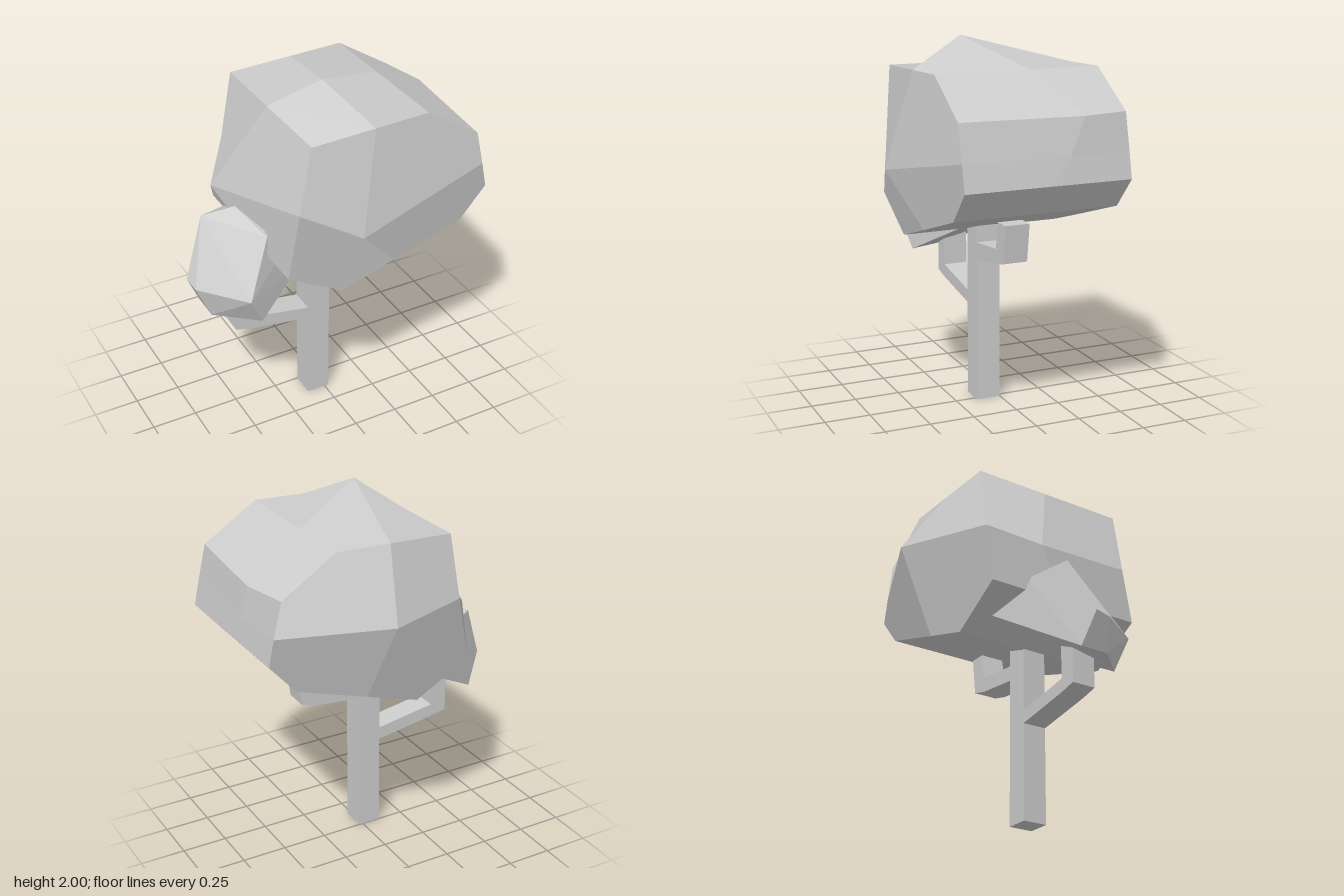
import * as THREE from 'three';
import { ConvexGeometry } from 'three/addons/geometries/ConvexGeometry.js';

const material = new THREE.MeshStandardMaterial({ color: 0xcccccc });
const flat = new THREE.MeshStandardMaterial({ color: 0xcccccc, flatShading: true });
const V = (p) => new THREE.Vector3(...p);

// Polygons facing away from a centre, each with one normal, fanned from its first corner
function facetedGeometry(faces, centre) {
  const positions = [], normals = [];
  for (const face of faces) {
    let pts = face.map(V);
    const normal = new THREE.Vector3();
    for (let i = 1; i < pts.length - 1; i++) {
      const a = pts[i].clone().sub(pts[0]);
      normal.add(a.cross(pts[i + 1].clone().sub(pts[0])));
    }
    normal.normalize();
    if (normal.dot(pts[0].clone().sub(centre)) < 0) {
      normal.negate();
      pts = [pts[0], ...pts.slice(1).reverse()];
    }
    for (let i = 1; i < pts.length - 1; i++) {
      for (const p of [pts[0], pts[i], pts[i + 1]]) {
        positions.push(p.x, p.y, p.z);
        normals.push(normal.x, normal.y, normal.z);
      }
    }
  }
  const geometry = new THREE.BufferGeometry();
  geometry.setAttribute('position', new THREE.Float32BufferAttribute(positions, 3));
  geometry.setAttribute('normal', new THREE.Float32BufferAttribute(normals, 3));
  return geometry;
}

// Main foliage: front, middle and back rings closed by a pulled-out centre point at each end
function crownGeometry() {
  const profile = [
    [-0.28, 1.835], [0.07, 1.847], [0.37, 1.857], [0.67, 1.665], [0.715, 1.475], [0.745, 1.335],
    [0.6, 1.17], [0.2, 1.042], [-0.1, 0.948], [-0.41, 1.12], [-0.346, 1.47],
  ];
  const front = profile.map(([x, y]) => [x, y, 0.503]);
  const back = profile.map(([x, y]) => [x, y, -0.395]);
  const middle = profile.map(([x, y]) => [x, y, 0.05]);
  // Bulges on the top, left and right of the middle ring
  middle[0][2] = 0.03;
  middle[1] = [-0.055, 2, 0.19];
  middle[2][2] = -0.01;
  middle[3] = [0.725, 1.665, -0.14];
  middle[4] = [0.737, 1.47, -0.06];
  middle[10] = [-0.52, 1.34, -0.165];

  const faces = [];
  const n = profile.length;
  const bulges = [1, 3, 10];
  for (let i = 0; i < n; i++) {
    const j = (i + 1) % n;
    for (const ring of [front, back]) {
      // Fold each quad so that the bulge stays off the diagonal, except low on the back
      const turned = bulges.includes(i) || (i === 9 && ring === back);
      faces.push(turned
        ? [middle[j], middle[i], ring[i], ring[j]]
        : [middle[i], ring[i], ring[j], middle[j]]);
    }
  }
  // End sectors, each folded from its first corner; 'c' is the pulled-out centre
  const sectors = [[1, 2, 3, 4, 'c'], [6, 7, 'c', 4, 5], [9, 10, 'c', 7, 8], [10, 0, 1, 'c']];
  for (const sector of sectors) {
    faces.push(sector.map((i) => (i === 'c' ? [-0.05, 1.32, 0.62] : front[i])));
    faces.push(sector.map((i) => (i === 'c' ? [0.16, 1.5, -0.62] : back[i])));
  }
  return facetedGeometry(faces, new THREE.Vector3(0.13, 1.42, 0.05));
}

// Bent branch with the same depth as the trunk
function branchGeometry(outline) {
  const shape = new THREE.Shape(outline.map(([x, y]) => new THREE.Vector2(x, y)));
  return new THREE.ExtrudeGeometry(shape, { depth: 0.135, bevelEnabled: false });
}

export function createModel() {
  const group = new THREE.Group();
  const add = (name, geometry, mat) => {
    const mesh = new THREE.Mesh(geometry, mat);
    mesh.name = name;
    group.add(mesh);
    return mesh;
  };

  // Trunk
  add('trunk', new THREE.BoxGeometry(0.13, 1.06, 0.135), flat).position.set(-0.041, 0.53, 0.0675);

  // Branches
  add('leftBranch', branchGeometry([
    [0.01, 0.81], [0.28, 0.838], [0.372, 0.862], [0.4, 1.07], [0.305, 1.07], [0.277, 0.922], [0.01, 0.895],
  ]), flat);
  add('rightBranch', branchGeometry([
    [-0.1, 0.525], [-0.44, 0.58], [-0.54, 0.603], [-0.54, 0.85], [-0.445, 0.85], [-0.445, 0.655], [-0.1, 0.597],
  ]), flat);

  // Foliage
  add('mainFoliage', crownGeometry(), material);
  add('smallFoliage', new ConvexGeometry([
    [-0.75, 0.92, 0], [-0.74, 0.905, 0.09], [-0.55, 0.93, 0.36], [-0.47, 0.763, 0.32],
    [-0.67, 0.74, 0.12], [-0.67, 0.74, -0.04], [-0.62, 1.23, -0.08], [-0.46, 1.285, 0],
    [-0.4, 1.22, 0.25], [-0.42, 1.18, -0.19], [-0.175, 1.055, -0.31], [-0.12, 0.955, 0.14],
    [-0.22, 1.14, 0.18], [-0.3, 1.24, 0.05],
  ].map(V)), flat);

  return group;
}
